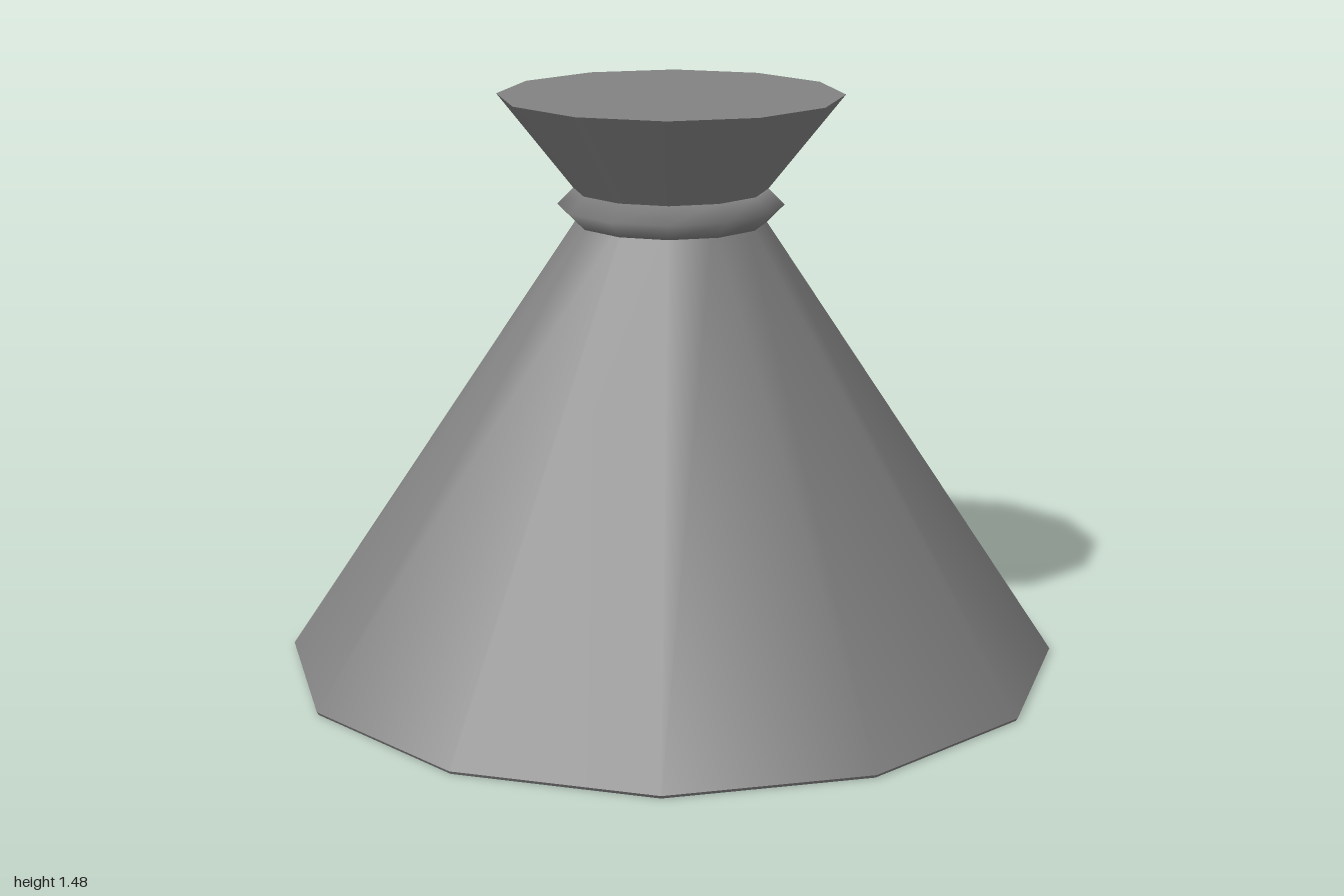
import * as THREE from 'three';

const SIDES = 12;

export function createModel() {
  const group = new THREE.Group();
  const material = new THREE.MeshStandardMaterial({ color: 0x828282 });

  const add = (name, geometry, y) => {
    const mesh = new THREE.Mesh(geometry, material);
    mesh.name = name;
    mesh.position.y = y;
    group.add(mesh);
  };

  // Tapered section standing between two heights
  const section = (name, rBottom, rTop, y0, y1) =>
    add(name, new THREE.CylinderGeometry(rTop, rBottom, y1 - y0, SIDES), (y0 + y1) / 2);

  // Thin bevelled foot, wide cone and flared top
  section('baseRim', 0.995, 1, 0, 0.008);
  section('body', 1, 0.215, 0.008, 1.195);
  section('flaredTop', 0.214, 0.44, 1.195, 1.477);

  // Tie ring around the waist, with a diamond cross-section
  const ring = new THREE.TorusGeometry(0.245, 0.044, 4, SIDES);
  ring.rotateX(Math.PI / 2);
  add('waistRing', ring, 1.196);

  return group;
}
